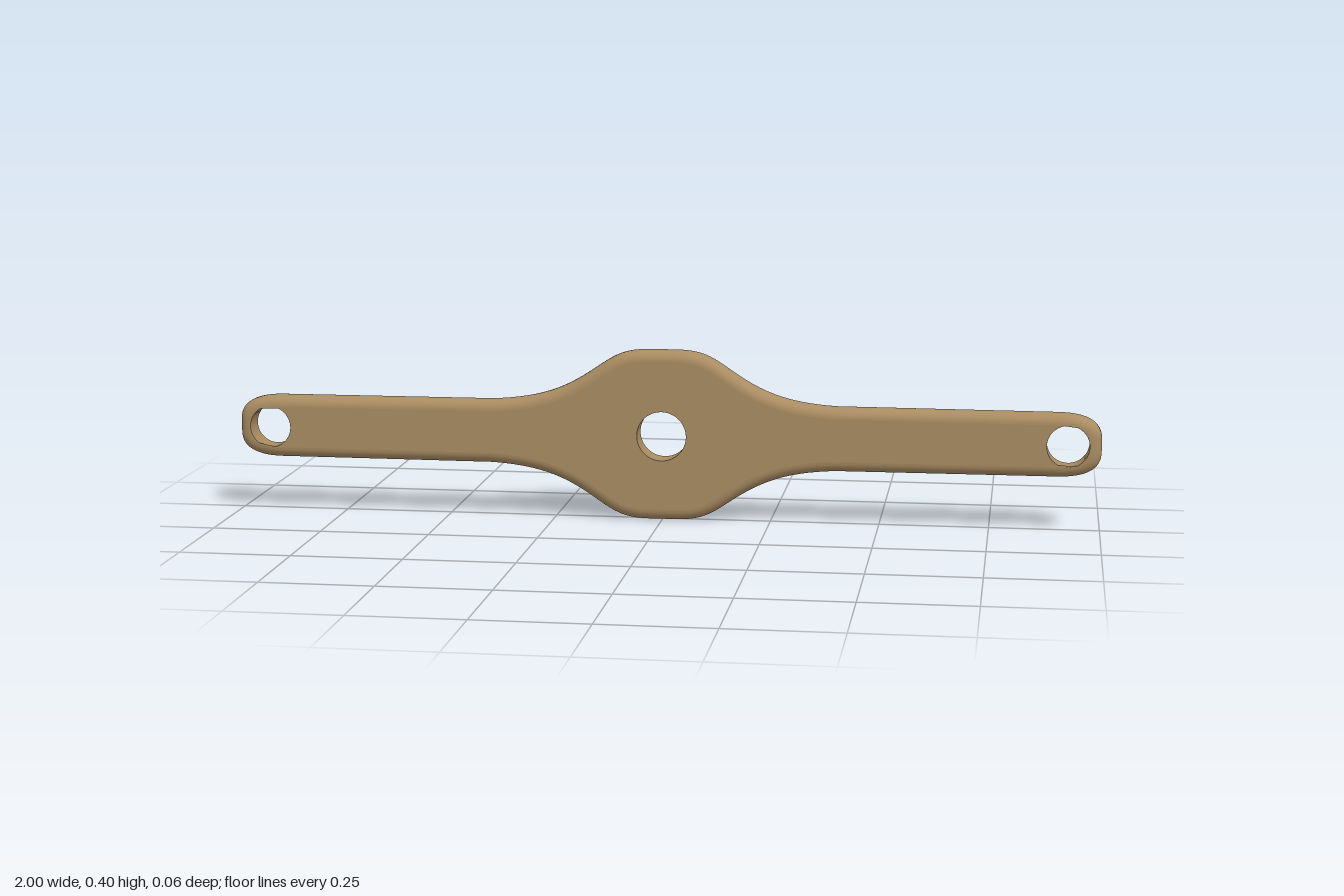
import * as THREE from 'three';

const CY = 0.1975;     // height of the bar's centre line
const HALF = 0.03;     // half thickness
const ROUND = 0.025;   // edge rounding
const HOLES = [[0, 0.057], [-0.925, 0.048], [0.925, 0.048]]; // x, radius

// Closed counter-clockwise outline, one quadrant mirrored into four
function outline() {
  const quarter = new THREE.Path();
  quarter.moveTo(1, 0);
  quarter.lineTo(1, 0.015);
  quarter.bezierCurveTo(1, 0.055, 0.965, 0.073, 0.9, 0.073);
  quarter.lineTo(0.4, 0.074);
  quarter.bezierCurveTo(0.28, 0.08, 0.225, 0.107, 0.165, 0.147);
  quarter.bezierCurveTo(0.115, 0.181, 0.095, 0.1975, 0.03, 0.1975);
  quarter.lineTo(0, 0.1975);
  const q = quarter.getPoints(16);
  const half = [...q, ...q.slice(0, -1).reverse().map(p => new THREE.Vector2(-p.x, p.y))];
  return [...half, ...half.slice(1, -1).reverse().map(p => new THREE.Vector2(p.x, -p.y))];
}

// Outline moved inward along its normals
function inset(points, d) {
  const n = points.length;
  return points.map((p, i) => {
    const t = points[(i + 1) % n].clone().sub(p).normalize()
      .add(p.clone().sub(points[(i + n - 1) % n]).normalize()).normalize();
    return new THREE.Vector2(p.x - t.y * d, p.y + t.x * d);
  });
}

// Rounded rim: rings of the outline swept from back to front
function rimGeometry(points) {
  const steps = 8, rings = [];
  for (const side of [-1, 1]) {
    for (let k = 0; k <= steps; k++) {
      const a = (side < 0 ? steps - k : k) / steps * Math.PI / 2;
      rings.push([ROUND * (1 - Math.cos(a)), side * (HALF - ROUND + ROUND * Math.sin(a))]);
    }
  }
  const pos = [], index = [], n = points.length;
  rings.forEach(([d, z], k) => {
    inset(points, d).forEach((p, i) => {
      pos.push(p.x, p.y, z);
      if (k === rings.length - 1) return;
      const a = k * n + i, b = k * n + (i + 1) % n;
      index.push(a, b, b + n, a, b + n, a + n);
    });
  });
  const g = new THREE.BufferGeometry();
  g.setAttribute('position', new THREE.Float32BufferAttribute(pos, 3));
  g.setIndex(index);
  g.computeVertexNormals();
  return g;
}

export function createModel() {
  const group = new THREE.Group();
  group.name = 'leverArm';
  const mat = new THREE.MeshStandardMaterial({ color: 0xa98c62 });
  const wallMat = new THREE.MeshStandardMaterial({ color: 0xa98c62, side: THREE.DoubleSide });
  const add = (name, geometry, material = mat) => {
    const mesh = new THREE.Mesh(geometry, material);
    mesh.name = name;
    mesh.position.y = CY;
    group.add(mesh);
    return mesh;
  };

  const points = outline();
  add('roundedRim', rimGeometry(points));

  // Flat faces with the three holes
  const face = new THREE.Shape(inset(points, ROUND));
  for (const [x, r] of HOLES) {
    face.holes.push(new THREE.Path().absarc(x, 0, r, 0, Math.PI * 2, true));
  }
  const front = new THREE.ShapeGeometry(face, 48).translate(0, 0, HALF);
  add('frontFace', front);
  add('backFace', front.clone().rotateY(Math.PI));

  // Hole walls
  HOLES.forEach(([x, r], i) => {
    const wall = new THREE.CylinderGeometry(r, r, HALF * 2, 48, 1, true).rotateX(Math.PI / 2);
    add(['hubBore', 'rightEndHole', 'leftEndHole'][i], wall, wallMat).position.x = x;
  });
  return group;
}
